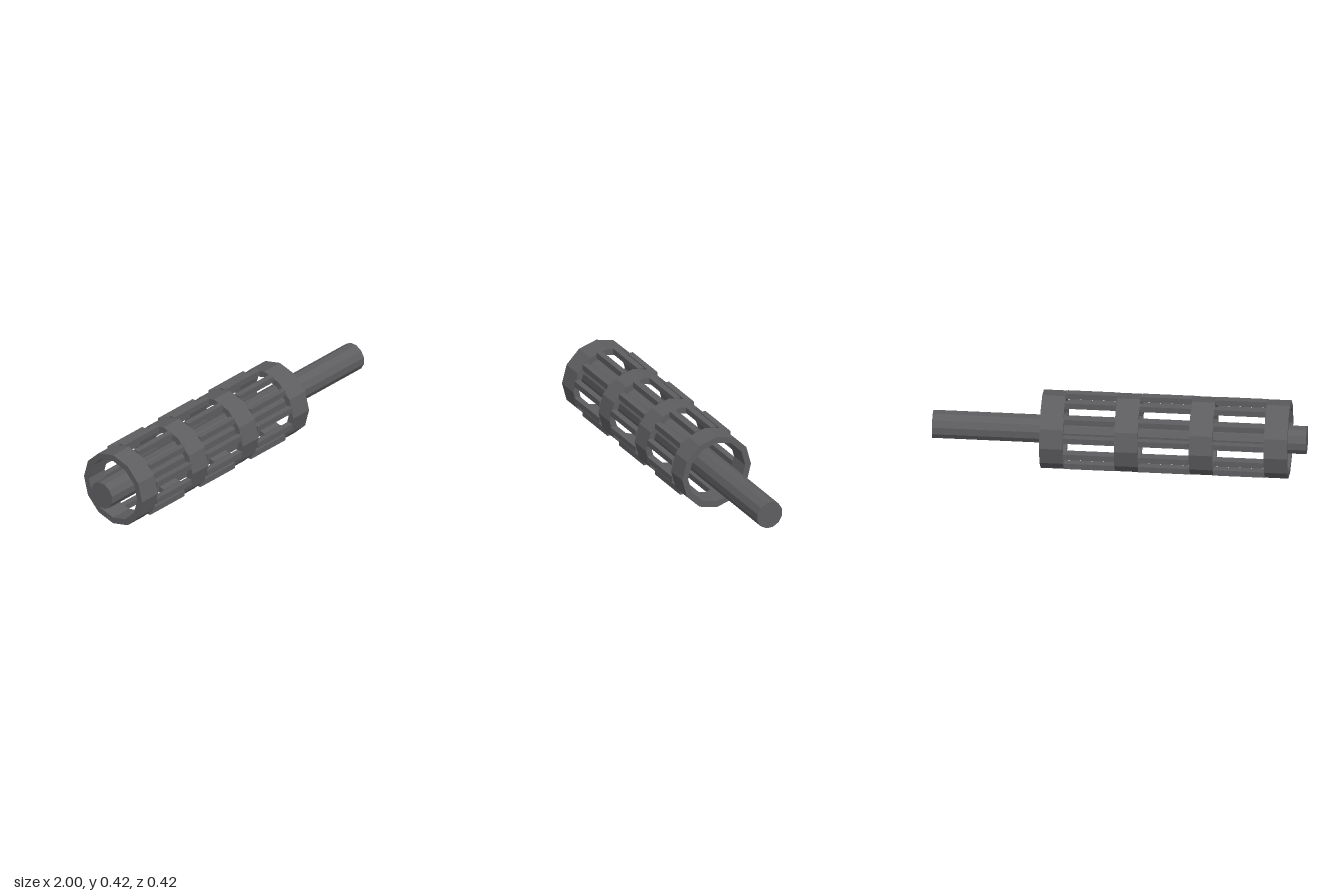
import * as THREE from 'three';

const SIDES = 12;
const AXIS_Y = 0.209;

// Regular polygon outline with a corner at the top
function polygon(radius, PathType) {
  const points = [];
  for (let i = 0; i < SIDES; i++) {
    const a = (i / SIDES) * Math.PI * 2;
    points.push(new THREE.Vector2(Math.cos(a) * radius, Math.sin(a) * radius));
  }
  const path = new PathType(points);
  path.closePath();
  return path;
}

export function createModel() {
  const model = new THREE.Group();
  model.name = 'cageRotor';
  const metal = new THREE.MeshStandardMaterial({ color: 0x5e5e61 });
  metal.name = 'dark grey metal';
  metal.flatShading = true;

  const add = (name, geometry, x, y, z) => {
    const mesh = new THREE.Mesh(geometry, metal);
    mesh.name = name;
    mesh.position.set(x, AXIS_Y + y, z);
    model.add(mesh);
  };

  // Central shaft, with flats at top and bottom
  const shaft = new THREE.CylinderGeometry(0.077, 0.077, 2, SIDES, 1, false, Math.PI / SIDES);
  shaft.rotateZ(-Math.PI / 2);
  add('shaft', shaft, 0, 0, 0);

  // Four open rings
  const ringWidth = 0.125;
  const ringCentres = [-0.847, -0.447, -0.047, 0.353];
  const outline = polygon(0.209, THREE.Shape);
  outline.holes.push(polygon(0.174, THREE.Path));
  const ring = new THREE.ExtrudeGeometry(outline, { depth: ringWidth, bevelEnabled: false });
  ring.translate(0, 0, -ringWidth / 2);
  ring.rotateY(Math.PI / 2);
  ringCentres.forEach((x, i) => add(`ring${i + 1}`, ring, x, 0, 0));

  // Square bars bridging each gap between rings
  const barLength = 0.4 - ringWidth;
  const bar = new THREE.BoxGeometry(barLength, 0.033, 0.033);
  for (let gap = 0; gap < 3; gap++) {
    const x = (ringCentres[gap] + ringCentres[gap + 1]) / 2;
    for (let i = 0; i < SIDES; i++) {
      const a = ((i + 0.5) / SIDES) * Math.PI * 2;
      add(`bar${gap + 1}_${i + 1}`, bar, x, Math.sin(a) * 0.193, Math.cos(a) * 0.193);
    }
  }
  return model;
}
